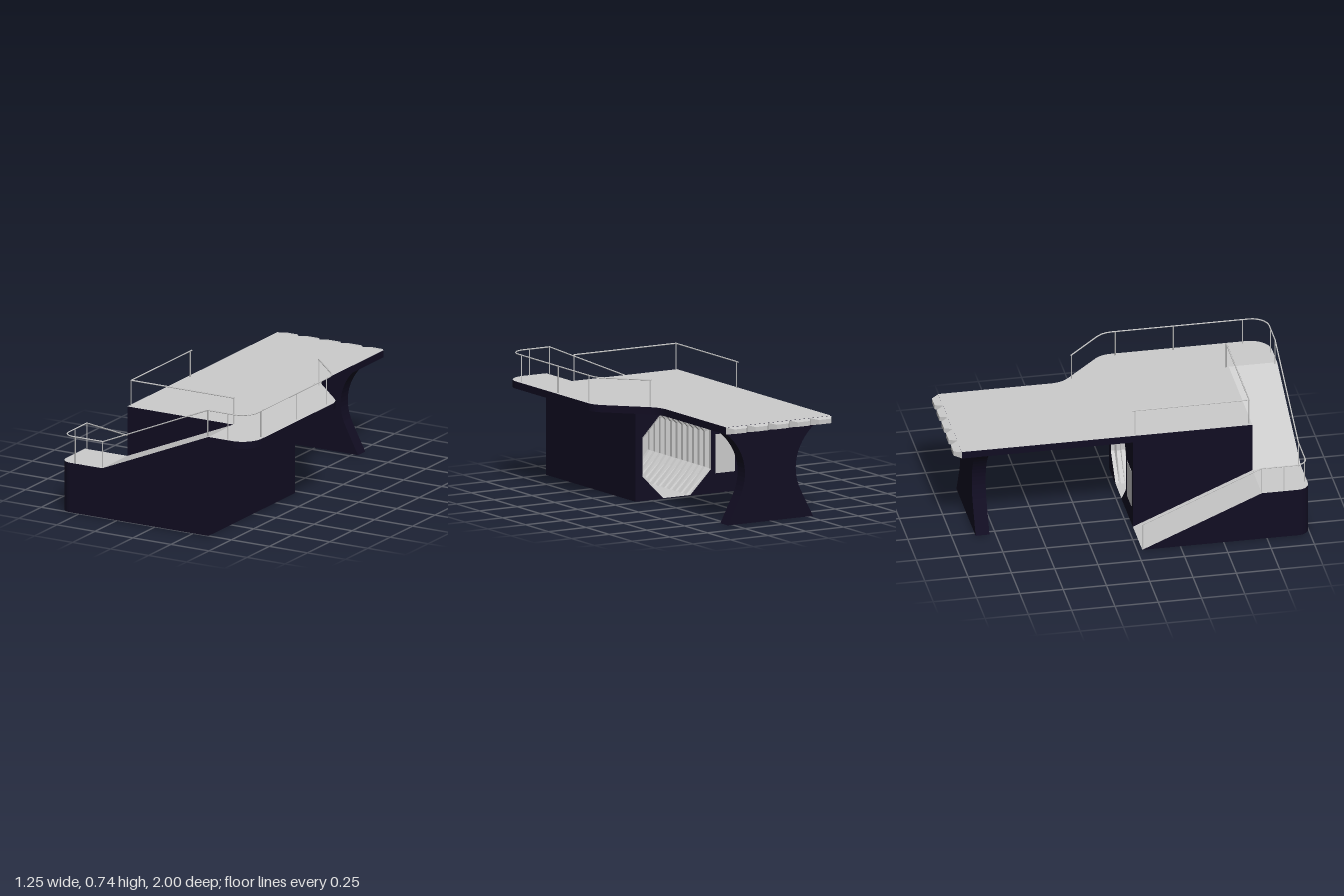
import * as THREE from 'three';

const grey = new THREE.MeshStandardMaterial({ color: 0xcccccc });
const greyBoth = new THREE.MeshStandardMaterial({ color: 0xcccccc, side: THREE.DoubleSide });
const navy = new THREE.MeshStandardMaterial({ color: 0x110d22 });
const navyBoth = new THREE.MeshStandardMaterial({ color: 0x110d22, side: THREE.DoubleSide });

const deckTop = 0.586, deckLow = 0.544, landingY = 0.293, railH = 0.153;
const half = 0.349, outer = 0.627; // half width of the base, reach of wing and landing

function add(parent, name, geometry, material) {
  const mesh = new THREE.Mesh(geometry, material);
  mesh.name = name;
  parent.add(mesh);
  return mesh;
}

function fromTriangles(points) {
  const geo = new THREE.BufferGeometry().setFromPoints(points);
  geo.computeVertexNormals();
  return geo;
}

// Flat convex face from corner points
function face(corners) {
  const p = corners.map(c => new THREE.Vector3(...c)), tris = [];
  for (let i = 1; i < p.length - 1; i++) tris.push(p[0], p[i], p[i + 1]);
  return fromTriangles(tris);
}

// Skin between consecutive rows of points
function loft(rows, closed = false) {
  const tris = [];
  for (let r = 0; r < rows.length - 1; r++) {
    const a = rows[r], b = rows[r + 1], n = a.length;
    for (let i = 0; i < (closed ? n : n - 1); i++) {
      const j = (i + 1) % n;
      tris.push(a[i], a[j], b[j], a[i], b[j], b[i]);
    }
  }
  return fromTriangles(tris);
}

// Upright wall along a plan path of [x, z, bottom, top]
const wall = path => loft(path.map(([x, z, lo, hi]) =>
  [new THREE.Vector3(x, lo, z), new THREE.Vector3(x, hi, z)]));

// Quarter-round corner as [x, z] points
function arc(cx, cz, r, from, to, n = 8) {
  return Array.from({ length: n + 1 }, (_, i) => {
    const t = from + (to - from) * i / n;
    return [cx + r * Math.cos(t), cz + r * Math.sin(t)];
  });
}

function bar(parent, name, a, b, r) {
  const p = new THREE.Vector3(...a), d = new THREE.Vector3(...b).sub(p);
  const mesh = add(parent, name, new THREE.CylinderGeometry(r, r, d.length() + r, 6), grey);
  mesh.position.copy(p).addScaledVector(d, 0.5);
  mesh.quaternion.setFromUnitVectors(new THREE.Vector3(0, 1, 0), d.normalize());
}

// Handrail along floor points, with posts standing on the floor
function railing(parent, name, path, posts) {
  const rail = new THREE.Group();
  rail.name = name;
  parent.add(rail);
  for (let i = 0; i < path.length - 1; i++) {
    const [a, b] = [path[i], path[i + 1]].map(([x, y, z]) => [x, y + railH, z]);
    bar(rail, 'handrail', a, b, 0.004);
  }
  for (const [x, y, z] of posts) bar(rail, 'post', [x, y, z], [x, y + railH, z], 0.003);
}

export function createModel() {
  const model = new THREE.Group();
  model.name = 'raisedPlatform';

  // Deck slab with side wing; shape y is -z
  const s = new THREE.Shape();
  s.moveTo(-half, 0.957);
  s.lineTo(-half, -0.72);
  s.lineTo(half, -0.72);
  s.lineTo(half, -1);
  s.lineTo(outer - 0.125, -1);
  s.absarc(outer - 0.125, -0.875, 0.125, -Math.PI / 2, 0, false);
  s.lineTo(outer, -0.08);
  s.quadraticCurveTo(outer - 0.005, -0.03, 0.587, 0.005);
  s.lineTo(0.397, 0.195);
  s.quadraticCurveTo(half, 0.24, half, 0.31);
  s.lineTo(half, 0.957);
  const slab = add(model, 'deckSlab', new THREE.ExtrudeGeometry(s,
    { depth: deckTop - deckLow - 0.001, bevelEnabled: false, curveSegments: 10 }), navy);
  slab.rotation.x = -Math.PI / 2;
  slab.position.y = deckLow;
  const top = add(model, 'deckSurface', new THREE.ShapeGeometry(s, 10), greyBoth);
  top.rotation.x = -Math.PI / 2;
  top.position.y = deckTop;

  // Tapered teeth along the far end
  const toothW = half * 2 / 5;
  for (let i = 0; i < 5; i++) {
    const g = new THREE.BoxGeometry(toothW, 0.04, 0.043);
    const p = g.attributes.position;
    for (let k = 0; k < p.count; k++)
      if (p.getZ(k) < 0) p.setXYZ(k, p.getX(k) * 0.57, p.getY(k) * 0.65, p.getZ(k));
    g.computeVertexNormals();
    add(model, 'endTooth', g, grey).position.set((i - 2) * toothW, 0.565, -0.9785);
  }

  // Waisted support pier
  const pier = new THREE.Shape();
  pier.moveTo(-0.283, 0);
  pier.lineTo(0.283, 0);
  pier.lineTo(0.2, 0.16);
  pier.bezierCurveTo(0.13, 0.3, 0.18, 0.45, 0.315, deckLow);
  pier.lineTo(-0.315, deckLow);
  pier.bezierCurveTo(-0.18, 0.45, -0.13, 0.3, -0.2, 0.16);
  add(model, 'pier', new THREE.ExtrudeGeometry(pier,
    { depth: 0.08, bevelEnabled: false, curveSegments: 16 }), navy).position.z = -0.865;

  // Hollow base: outer walls follow the ramps
  const corner = arc(0.07 - outer, 0.93, 0.07, Math.PI, Math.PI / 2);
  add(model, 'outerWalls', wall([
    [-outer, 0.03, 0, 0], [-outer, 0.72, 0, landingY],
    ...corner.map(([x, z]) => [x, z, 0, landingY]),
    [-half, 1, 0, landingY], [half, 1, 0, deckTop],
    [half, 0.72, 0, deckTop], [half, 0.03, 0, deckLow],
  ]), navyBoth);
  add(model, 'sideWall', wall([[-half, 0.03, 0, deckLow], [-half, 0.72, landingY, deckLow]]), navyBoth);
  add(model, 'stepWall', face([[-half, landingY, 0.72], [half, deckTop, 0.72],
    [-half, deckTop, 0.72]]), navyBoth);

  // Two ramps and the landing between them
  const walks = {
    lowerRamp: [[-outer, landingY, 0.72], [-half, landingY, 0.72], [-half, 0, 0.03], [-outer, 0, 0.03]].reverse(),
    landing: [[-half, landingY, 0.72], [-outer, landingY, 0.72],
      ...corner.map(([x, z]) => [x, landingY, z]), [-half, landingY, 1]],
    upperRamp: [[-half, landingY, 1], [half, deckTop, 1], [half, deckTop, 0.72], [-half, landingY, 0.72]],
  };
  for (const [name, corners] of Object.entries(walks)) add(model, name, face(corners), greyBoth);

  // Back wall with octagonal tunnel mouth
  const oct = [[0.09, 0], [0.228, 0.14], [0.228, 0.365], [0.09, 0.507],
    [-0.09, 0.507], [-0.228, 0.365], [-0.228, 0.14], [-0.09, 0]];
  const ring = k => oct.map(([x, y]) =>
    new THREE.Vector2(0.075 + x * k, y === 0 ? 0.003 : 0.25 + (y - 0.25) * k));
  const back = new THREE.Shape([[-half, 0], [half, 0], [half, deckLow], [-half, deckLow]]
    .map(p => new THREE.Vector2(...p)));
  back.holes.push(new THREE.Path(ring(1)));
  add(model, 'backWall', new THREE.ShapeGeometry(back), navyBoth).position.z = 0.03;

  // Ribbed tunnel lining and its end
  const rows = [], pitch = 0.06;
  for (let i = 0; i < 11; i++)
    for (const [t, k] of [[0, 1], [0.35, 1], [0.5, 0.9], [0.85, 0.9]])
      rows.push(ring(k).map(p => new THREE.Vector3(p.x, p.y, 0.03 + (i + t) * pitch)));
  add(model, 'tunnelLining', loft(rows, true), greyBoth);
  add(model, 'tunnelEnd', new THREE.ShapeGeometry(new THREE.Shape(ring(0.9))), greyBoth).position.z = 0.03 + 10.85 * pitch;

  // Door beside the tunnel
  add(model, 'door', new THREE.BoxGeometry(0.13, 0.225, 0.004), grey).position.set(-0.246, 0.225, 0.03);

  // Outer railing from wing, down the ramps
  const at = y => ([x, z]) => [x, y, z];
  railing(model, 'outerRailing', [
    ...[[0.378, -0.185], [0.565, 0], [0.59, 0.032], [0.602, 0.065], [0.605, 0.1]].map(at(deckTop)),
    ...arc(0.505, 0.885, 0.1, 0, Math.PI / 2).map(at(deckTop)),
    [0.336, deckTop, 0.985], [-0.353, landingY, 0.985],
    ...arc(-0.55, 0.92, 0.065, Math.PI / 2, Math.PI).map(at(landingY)),
    [-0.615, landingY, 0.72], [-0.615, 0.003, 0.035],
  ], [
    ...[[0.382, -0.18], [0.605, 0.115], [0.605, 0.45], [0.605, 0.85], [0.47, 0.985], [0.336, 0.985]].map(at(deckTop)),
    ...[[-0.355, 0.985], [-0.535, 0.985], [-0.615, 0.85], [-0.615, 0.72]].map(at(landingY)),
    [-0.615, 0.003, 0.037],
  ]);

  // Inner railing on the deck edge
  const inner = [[0.345, 0.705], [-0.332, 0.705], [-0.332, 0.03]].map(at(deckTop));
  railing(model, 'innerRailing', inner, [inner[0], inner[1], [-0.332, deckTop, 0.045]]);

  return model;
}
